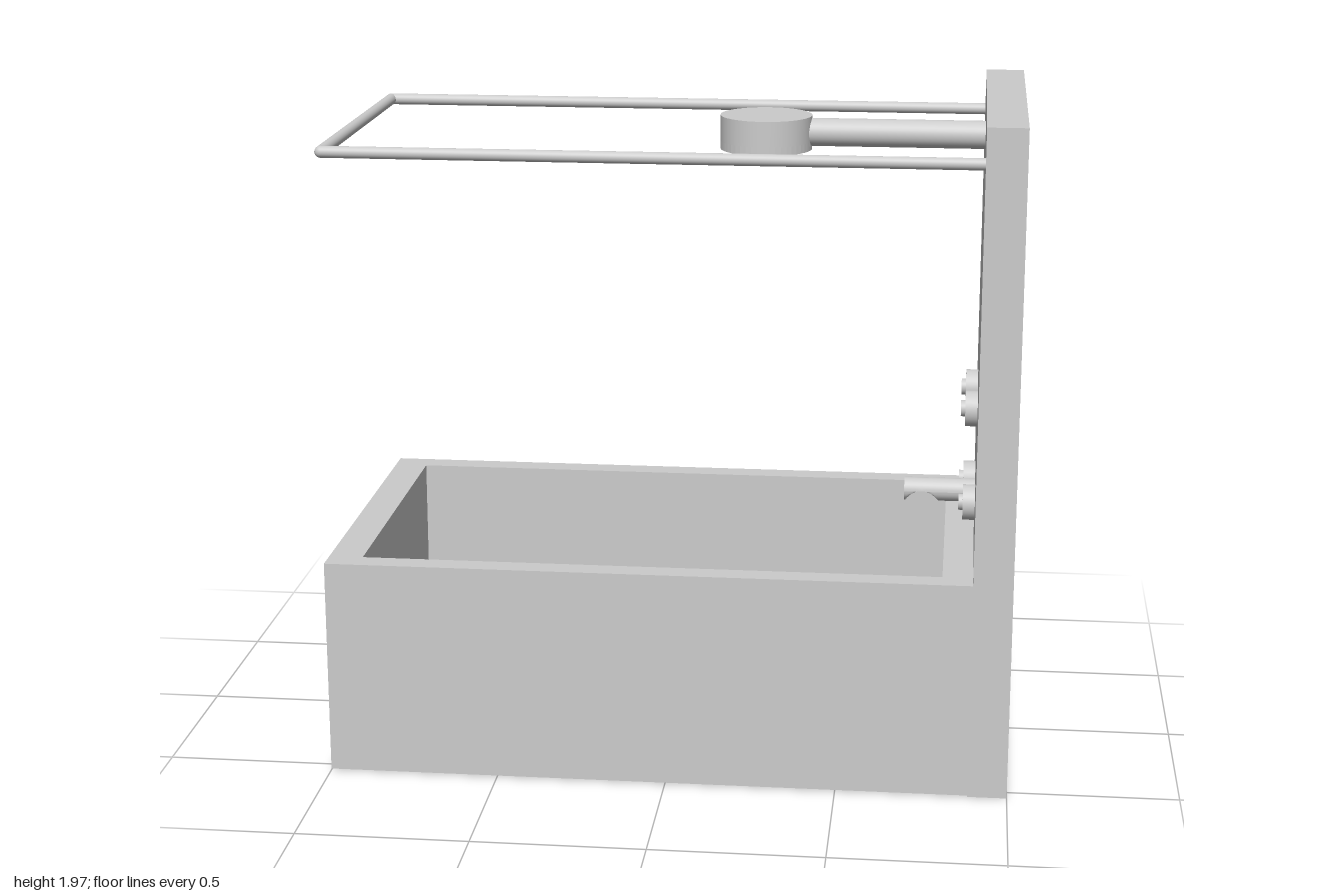
import * as THREE from 'three';

const material = new THREE.MeshStandardMaterial({ color: 0xcccccc });

function add(parent, name, geometry, x = 0, y = 0, z = 0) {
  const mesh = new THREE.Mesh(geometry, material);
  mesh.name = name;
  mesh.position.set(x, y, z);
  parent.add(mesh);
  return mesh;
}

// Box given by its limits along x and y, centred on z
function slab(x0, x1, y0, y1, depth) {
  return new THREE.BoxGeometry(x1 - x0, y1 - y0, depth)
    .translate((x0 + x1) / 2, (y0 + y1) / 2, 0);
}

function rectangle(target, x0, x1, h) {
  target.moveTo(x0, -h);
  target.lineTo(x1, -h);
  target.lineTo(x1, h);
  target.lineTo(x0, h);
  target.closePath();
  return target;
}

// Extrude a plan shape upward from y = 0
function extrudeUp(shape, height) {
  return new THREE.ExtrudeGeometry(shape, { depth: height, bevelEnabled: false, curveSegments: 16 })
    .rotateX(-Math.PI / 2);
}

function circleHole(x, y, r) {
  return new THREE.Path().absarc(x, y, r, 0, Math.PI * 2, true);
}

// Cylinder lying along x, from x0 to x1
function rodX(x0, x1, r, rings = 1) {
  return new THREE.CylinderGeometry(r, r, x1 - x0, 32, rings)
    .rotateZ(Math.PI / 2).translate((x0 + x1) / 2, 0, 0);
}

export function createModel() {
  const model = new THREE.Group();
  model.name = 'bathtubWithShower';
  const W = 1.086, H = 0.543;      // full and half width
  const wallX = 0.885;             // inner face of the end wall

  // End wall
  add(model, 'endWall', slab(wallX, 1, 0, 1.965, W));

  // Tub: solid base, floor with drain hole, hollow sides
  const tub = new THREE.Group();
  tub.name = 'tub';
  model.add(tub);
  add(tub, 'tubBase', slab(-1, wallX, 0.004, 0.11, W));
  const sides = rectangle(new THREE.Shape(), -1, wallX, H);
  sides.holes.push(rectangle(new THREE.Path(), -0.9, 0.797, 0.472));
  add(tub, 'tubSides', extrudeUp(sides, 0.538), 0, 0.11);
  const floor = rectangle(new THREE.Shape(), -0.9, 0.797, 0.472);
  floor.holes.push(circleHole(0.535, 0, 0.067));
  add(tub, 'tubFloor', extrudeUp(floor, 0.045), 0, 0.11);

  // Curtain rail: two long rods joined by a cross rod
  const rail = new THREE.Group();
  rail.name = 'curtainRail';
  model.add(rail);
  const railY = 1.851, r = 0.017, zBack = -0.489, zFront = 0.472;
  for (const z of [zBack, zFront]) {
    add(rail, 'sideRod', rodX(-0.983, wallX, r), 0, railY, z);
    add(rail, 'railCorner', new THREE.SphereGeometry(r, 20, 12), -0.983, railY, z);
  }
  add(rail, 'crossRod', new THREE.CylinderGeometry(r, r, zFront - zBack, 32).rotateX(Math.PI / 2),
    -0.983, railY, (zBack + zFront) / 2);

  // Shower: arm, round head and perforated plate below
  const shower = new THREE.Group();
  shower.name = 'shower';
  shower.position.set(0, 1.852, -0.003);
  model.add(shower);
  const headX = 0.243, headR = 0.135;
  add(shower, 'showerArm', rodX(headX + 0.1, wallX, 0.041));
  add(shower, 'showerHead', new THREE.CylinderGeometry(headR, headR, 0.075, 48), headX, 0.0115, 0);
  const plate = new THREE.Shape().absarc(0, 0, headR, 0, Math.PI * 2);
  for (const [count, radius] of [[1, 0], [6, 0.045], [12, 0.09]]) {
    for (let i = 0; i < count; i++) {
      const a = (i / count) * Math.PI * 2;
      plate.holes.push(circleHole(radius * Math.cos(a), radius * Math.sin(a), 0.008));
    }
  }
  const plateGeometry = new THREE.ExtrudeGeometry(plate, { depth: 0.025, bevelEnabled: false, curveSegments: 24 });
  add(shower, 'showerPlate', plateGeometry.rotateX(-Math.PI / 2), headX, -0.051, 0);

  // Four round taps: a rimmed disc with a hub in its hollow
  const rim = [[0, 0.018], [0.037, 0.018], [0.037, 0.036], [0.053, 0.036], [0.053, 0]];
  for (const y of [1.057, 0.767]) {
    for (const z of [-0.127, 0.122]) {
      const tap = new THREE.Group();
      tap.name = 'tap';
      tap.position.set(wallX, y, z);
      model.add(tap);
      // Separate bands keep the edges of the disc sharp
      for (let i = 0; i < rim.length - 1; i++) {
        const band = [rim[i + 1], rim[i]].map(([a, b]) => new THREE.Vector2(a, b));
        add(tap, 'tapDisc', new THREE.LatheGeometry(band, 32).rotateZ(Math.PI / 2));
      }
      add(tap, 'tapHub', rodX(-0.049, 0, 0.024));
    }
  }

  // Spout with a rounded notch cut into its underside near the tip
  const spoutY = 0.766;
  const spout = rodX(0.672, wallX, 0.035, 60);
  const p = spout.attributes.position;
  for (let i = 0; i < p.count; i++) {
    const d = p.getX(i) - 0.725;
    if (Math.abs(d) < 0.052) {
      const cut = -0.05 + Math.sqrt(0.052 ** 2 - d * d);
      p.setY(i, Math.max(p.getY(i), cut));
    }
  }
  spout.computeVertexNormals();
  add(model, 'spout', spout, 0, spoutY, -0.003);

  // Lathe bands turn their faces outward and toward the room
  material.side = THREE.DoubleSide;
  return model;
}
